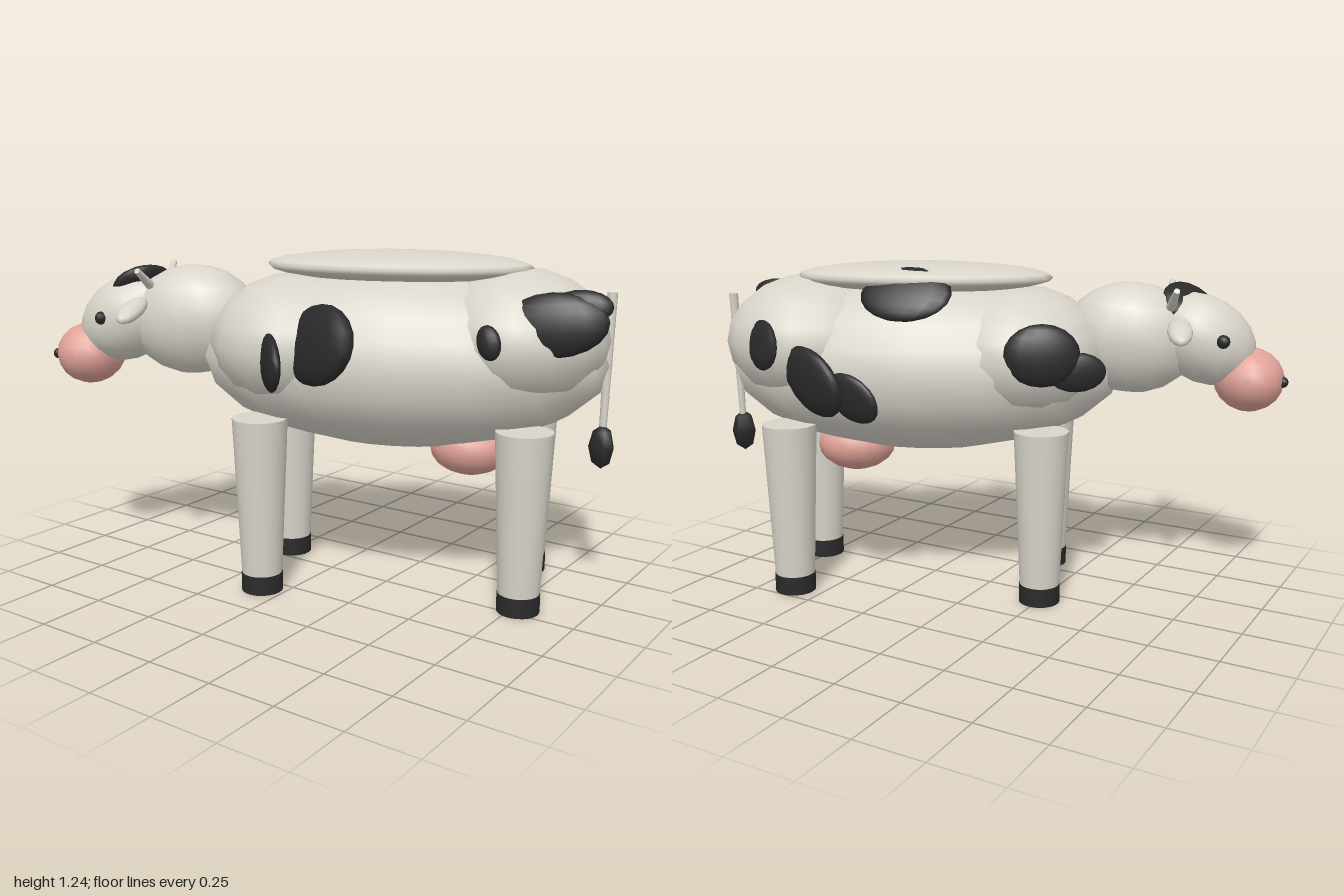
import * as THREE from 'three';

const mat = (name, color) => {
  const m = new THREE.MeshStandardMaterial({ color });
  m.name = name;
  return m;
};

export function createModel() {
  const model = new THREE.Group();
  model.name = 'cow';
  const hide = mat('hide', 0xd8d4ca);
  const dark = mat('dark', 0x2a2a2a);
  const pink = mat('pink', 0xe0a298);

  // The animal is built along x (head at -x), then turned towards the front
  const cow = new THREE.Group();
  cow.name = 'animal';
  cow.position.set(0.2625, 0, -0.054);
  cow.rotation.y = 0.389;
  model.add(cow);

  const add = (name, geo, material, pos) => {
    const mesh = new THREE.Mesh(geo, material);
    mesh.name = name;
    mesh.position.set(...pos);
    cow.add(mesh);
    return mesh;
  };
  const ball = (name, material, pos, radii, w = 16, h = 10) =>
    add(name, new THREE.SphereGeometry(1, w, h).scale(...radii), material, pos);

  // Tapered round bar between two points
  const bar = (name, material, from, to, r0, r1, sides = 8) => {
    const a = new THREE.Vector3(...from), b = new THREE.Vector3(...to);
    const dir = b.clone().sub(a);
    const mid = a.clone().add(b).multiplyScalar(0.5);
    const mesh = add(name, new THREE.CylinderGeometry(r1, r0, dir.length(), sides), material, mid.toArray());
    mesh.quaternion.setFromUnitVectors(new THREE.Vector3(0, 1, 0), dir.normalize());
    return mesh;
  };

  // Flattened patch facing along a normal
  const patch = (name, pos, radii, normal, roll = 0) => {
    const mesh = ball(name, dark, pos, radii, 14, 10);
    mesh.lookAt(new THREE.Vector3(...pos).add(new THREE.Vector3(...normal)));
    mesh.rotateZ(roll);
    return mesh;
  };

  // Body masses
  ball('barrel', hide, [0, 0.85, 0], [0.75, 0.32, 0.36]);
  ball('shoulders', hide, [-0.37, 0.9, 0], [0.33, 0.25, 0.35]);
  ball('rump', hide, [0.42, 0.94, 0], [0.325, 0.245, 0.335]);
  ball('back', hide, [-0.01, 1.18, -0.005], [0.48, 0.056, 0.225], 20, 12);
  ball('udder', pink, [0.265, 0.535, 0], [0.15, 0.105, 0.133]);

  // Legs and hooves
  for (const x of [-0.4675, 0.4675]) {
    for (const z of [-0.2125, 0.2125]) {
      const end = x < 0 ? 'front' : 'rear';
      bar(end + 'Leg', hide, [x, 0.07, z], [x, 0.65, z], 0.074, 0.1, 20);
      bar(end + 'Hoof', dark, [x, 0, z], [x, 0.07, z], 0.076, 0.076, 20);
    }
  }

  // Neck, head and muzzle
  ball('neck', hide, [-0.78, 0.965, 0], [0.25, 0.205, 0.165]).rotation.z = 0.08;
  ball('head', hide, [-1.04, 0.965, -0.008], [0.205, 0.155, 0.15]).rotation.z = 0.55;
  ball('muzzle', pink, [-1.21, 0.82, -0.012], [0.127, 0.117, 0.143]);
  patch('foreheadPatch', [-0.985, 1.09, -0.005], [0.12, 0.1, 0.04], [-0.5, 0.87, 0]);

  for (const s of [-1, 1]) {
    ball('eye', dark, [-1.1, 0.975, s * 0.135 - 0.01], [0.025, 0.025, 0.025], 8, 6);
    ball('nostril', dark, [-1.325, 0.82, s * 0.05 - 0.013], [0.02, 0.02, 0.02], 8, 6);
    bar('horn', hide, [-0.91, 1.06, s * 0.04 - 0.01], [-0.93, 1.157, s * 0.185 - 0.012], 0.021, 0.011);
    ball('ear', hide, [-0.945, 1.018, s * 0.205 - 0.006], [0.045, 0.028, 0.108], 12, 8).rotation.x = s * 0.27;
  }

  // Tail and tuft
  bar('tail', hide, [0.728, 0.61, 0.02], [0.736, 1.105, 0.006], 0.013, 0.018);
  ball('tailTuft', dark, [0.727, 0.563, 0.024], [0.046, 0.08, 0.046], 7, 4);

  // Patches on the left side
  patch('flankPatch', [-0.223, 0.94, 0.334], [0.195, 0.14, 0.055], [0, 0.25, 1], 0.15);
  patch('flankPatchSmall', [-0.39, 0.875, 0.341], [0.15, 0.1, 0.03], [-0.38, 0, 0.925]);
  patch('hipPatch', [0.549, 1.022, 0.262], [0.18, 0.108, 0.05], [0.6, 0.2, 0.785], 0.1);
  patch('hipPatchSmall', [0.638, 1.085, 0.255], [0.1, 0.055, 0.03], [0.6, 0.3, 0.785]);
  patch('hipFleck', [0.345, 0.965, 0.315], [0.045, 0.06, 0.03], [0.1, 0.1, 1], 0.4);

  // Patches on the right side
  patch('rumpPatch', [0.519, 0.96, -0.323], [0.13, 0.085, 0.027], [0.47, 0.15, -0.88], -0.2);
  patch('thighPatch', [0.33, 0.84, -0.362], [0.165, 0.115, 0.04], [0.33, -0.1, -0.94], -0.4);
  patch('bellyPatch', [0.194, 0.78, -0.348], [0.12, 0.085, 0.027], [0.19, -0.15, -1], -0.4);
  patch('shoulderPatch', [-0.473, 0.94, -0.312], [0.135, 0.11, 0.045], [-0.45, 0.1, -0.89]);
  patch('shoulderPatchSmall', [-0.593, 0.88, -0.287], [0.105, 0.07, 0.027], [-0.55, 0, -0.85]);
  patch('backPatch', [0.02, 1.135, -0.215], [0.17, 0.115, 0.035], [0, 0.64, -0.77]);

  return model;
}
